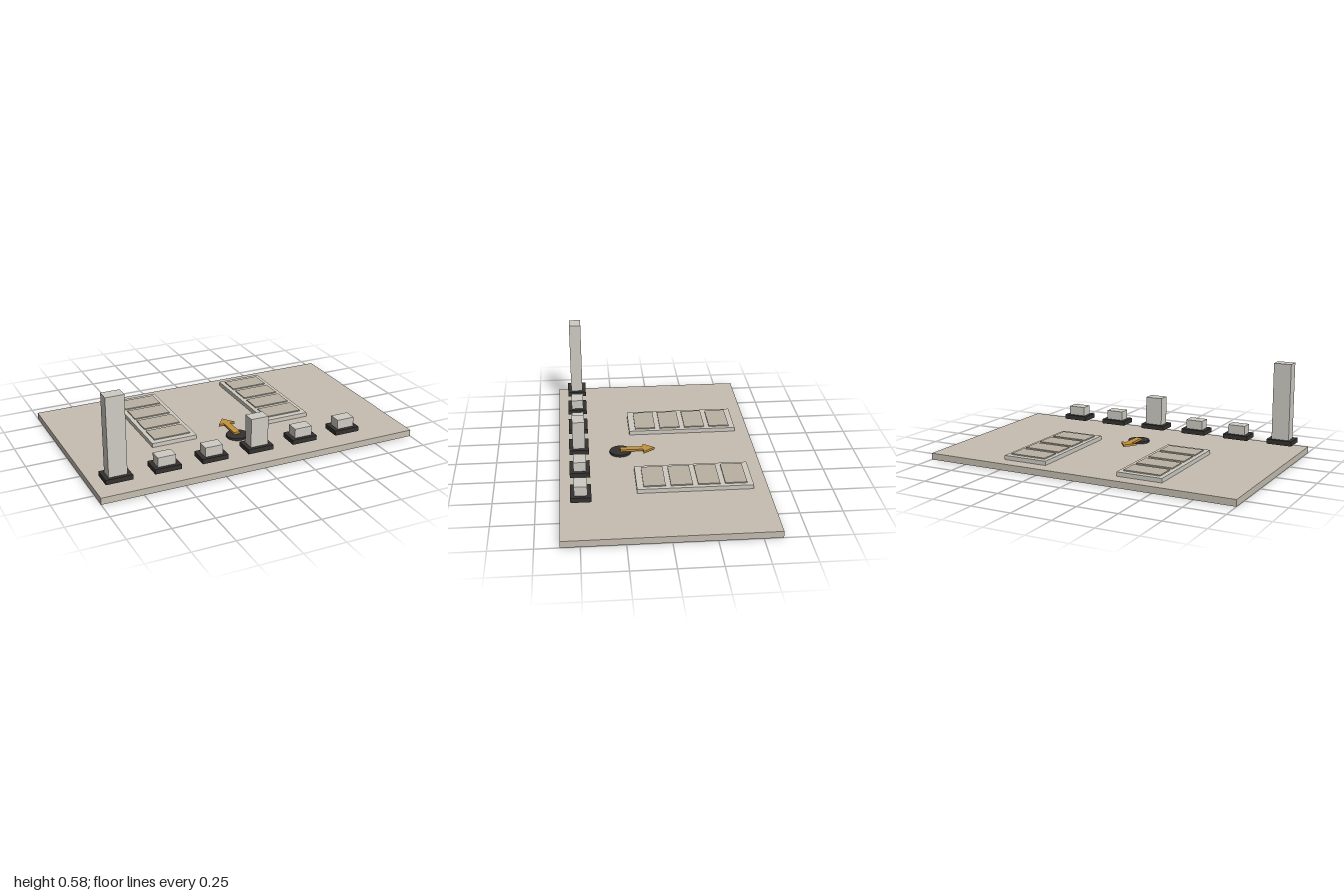
import * as THREE from 'three';

const paint = (color) => new THREE.MeshStandardMaterial({ color });

export function createModel() {
  const model = new THREE.Group();
  const stone = paint(0xc6beb1), frame = paint(0xcfcbc2), tile = paint(0xb9b2a3);
  const dark = paint(0x333230), pale = paint(0xcfccc4), amber = paint(0xc4923e);

  const add = (name, geometry, material, x, y, z, parent = model) => {
    const mesh = new THREE.Mesh(geometry, material);
    mesh.name = name;
    mesh.position.set(x, y, z);
    parent.add(mesh);
    return mesh;
  };
  // Box given by its centre in plan and its bottom and top heights
  const slab = (name, material, w, d, bottom, top, x, z, parent) =>
    add(name, new THREE.BoxGeometry(w, top - bottom, d), material, x, (bottom + top) / 2, z, parent);

  slab('baseBoard', stone, 2, 1.22, 0, 0.04, 0, 0);

  // Two trays, each with a row of four raised tiles
  for (const side of [-1, 1]) {
    const tray = new THREE.Group();
    tray.name = side < 0 ? 'rightTray' : 'leftTray';
    model.add(tray);
    const x = side * 0.379;
    slab('trayFrame', frame, 0.286, 0.684, 0.04, 0.066, x, -0.181, tray);
    for (let i = 0; i < 4; i++) {
      slab('trayTile', tile, 0.232, 0.13, 0.066, 0.073, x, -0.423 + i * 0.16, tray);
    }
  }

  // Row of six raised plinths carrying bars of different heights
  [0.583, 0.164, 0.164, 0.284, 0.164, 0.164].forEach((top, i) => {
    const stand = new THREE.Group();
    stand.name = 'barStand';
    model.add(stand);
    const x = -0.868 + i * 0.29;
    slab('plinth', dark, 0.16, 0.12, 0.077, 0.106, x, 0.488, stand);
    slab('bar', pale, 0.11, 0.076, 0.106, top, x, 0.488, stand);
  });

  // Round marker with an arrow pointing to the back
  add('markerDisc', new THREE.CylinderGeometry(0.066, 0.066, 0.014, 40), dark, 0, 0.047, 0.232);
  const outline = new THREE.Shape([
    [-0.02, -0.232], [0.02, -0.232], [0.02, -0.09], [0.053, -0.09],
    [0, -0.018], [-0.053, -0.09], [-0.02, -0.09],
  ].map(([x, y]) => new THREE.Vector2(x, y)));
  const arrow = add('arrow', new THREE.ExtrudeGeometry(outline, { depth: 0.013, bevelEnabled: false }),
    amber, 0, 0.054, 0);
  arrow.rotation.x = -Math.PI / 2;

  return model;
}
